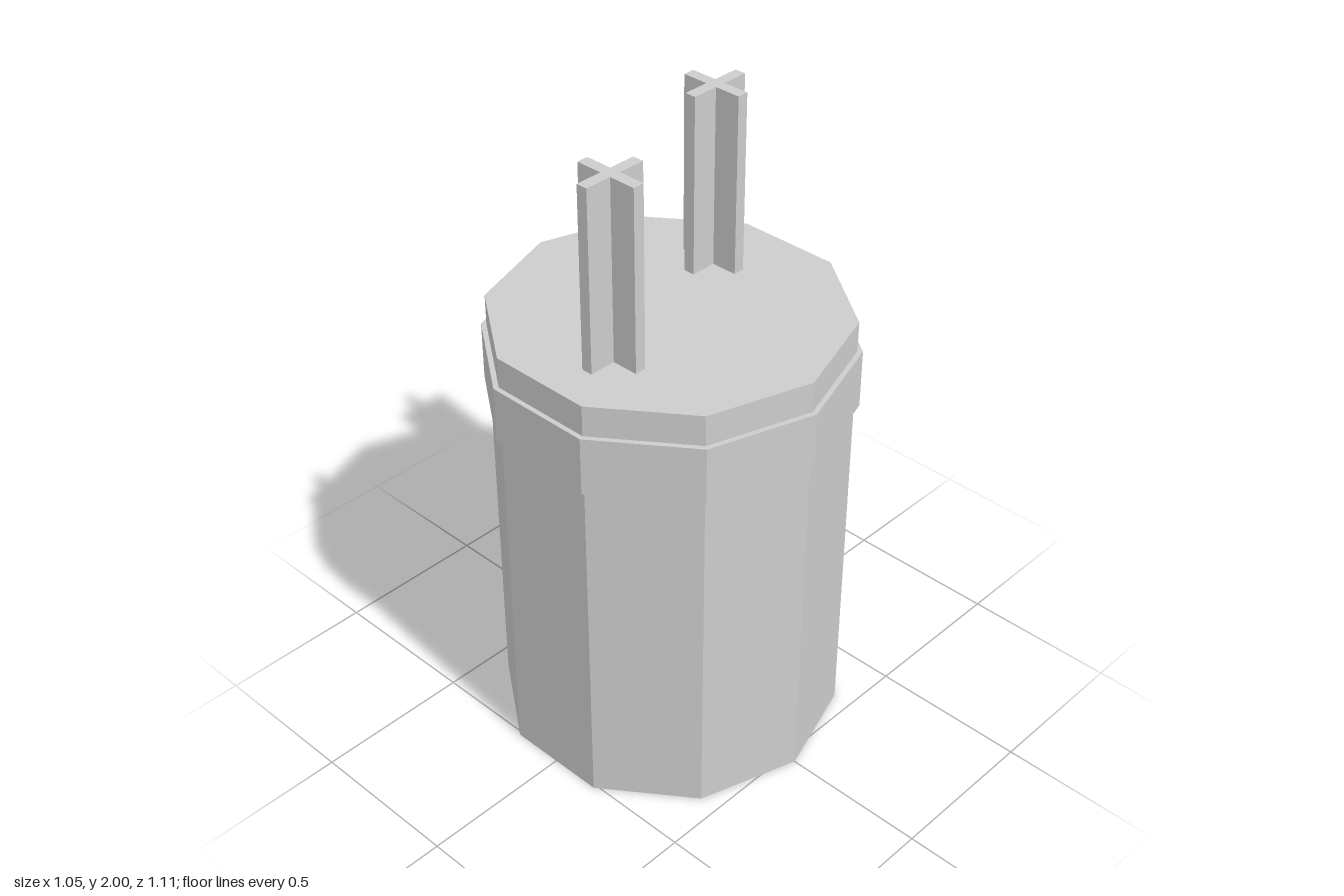
import * as THREE from 'three';

const SIDES = 10;

export function createModel() {
  const model = new THREE.Group();
  model.name = 'capacitor';
  const grey = new THREE.MeshStandardMaterial({ color: 0xcccccc, flatShading: true });
  grey.name = 'light grey';

  const add = (name, geometry, x, y, z) => {
    const mesh = new THREE.Mesh(geometry, grey);
    mesh.name = name;
    mesh.position.set(x, y, z);
    model.add(mesh);
  };

  // Ten-sided upright prism between two heights
  const prism = (name, radius, y0, y1) =>
    add(name, new THREE.CylinderGeometry(radius, radius, y1 - y0, SIDES), 0, (y0 + y1) / 2, 0);

  prism('body', 0.538, 0, 1.43);
  prism('collar', 0.554, 1.147, 1.333);

  // Plus-shaped pins, extruded upward from the lid
  const a = 0.103, t = 0.018;
  const cross = new THREE.Shape([
    [a, -t], [a, t], [t, t], [t, a], [-t, a], [-t, t],
    [-a, t], [-a, -t], [-t, -t], [-t, -a], [t, -a], [t, -t],
  ].map(([x, y]) => new THREE.Vector2(x, y)));
  const pin = new THREE.ExtrudeGeometry(cross, { depth: 0.57, bevelEnabled: false });
  pin.rotateX(-Math.PI / 2);

  add('leftPin', pin, 0.285, 1.43, -0.097);
  add('rightPin', pin, -0.285, 1.43, 0.06);

  return model;
}
